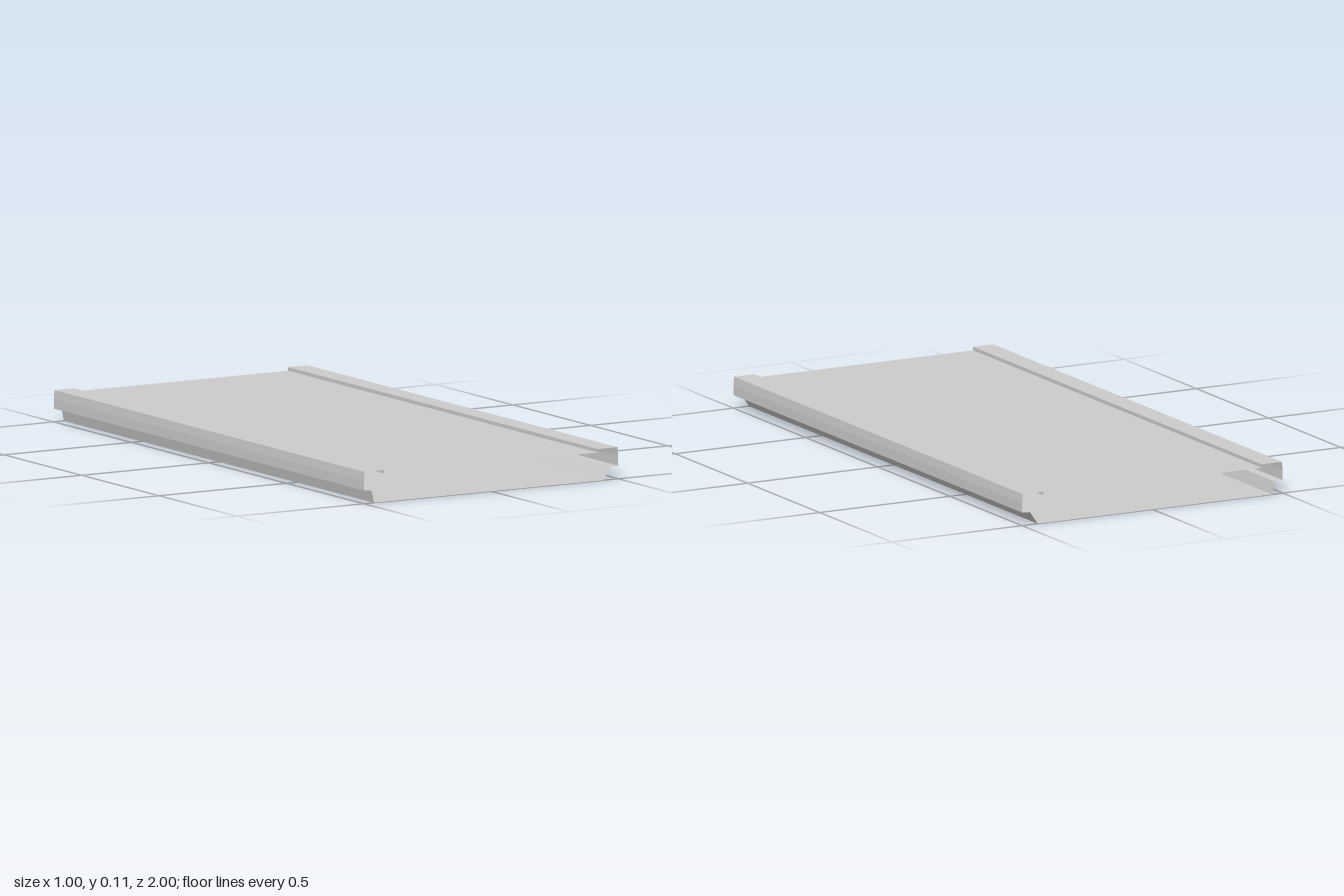
import * as THREE from 'three';

const LENGTH = 2;

// Sweeps an open [x, y] profile along z as a thin sheet with sharp folds
function sheet(name, points, material) {
  const pos = [];
  for (let i = 0; i < points.length - 1; i++) {
    const [ax, ay] = points[i], [bx, by] = points[i + 1], h = LENGTH / 2;
    pos.push(ax, ay, h, ax, ay, -h, bx, by, -h);
    pos.push(ax, ay, h, bx, by, -h, bx, by, h);
  }
  const geometry = new THREE.BufferGeometry();
  geometry.setAttribute('position', new THREE.Float32BufferAttribute(pos, 3));
  geometry.computeVertexNormals();
  const mesh = new THREE.Mesh(geometry, material);
  mesh.name = name;
  return mesh;
}

export function createModel() {
  const group = new THREE.Group();
  group.name = 'foldedPanel';
  const material = new THREE.MeshStandardMaterial({
    color: 0xcccccc, side: THREE.DoubleSide, flatShading: true,
  });

  // Recessed top and flat underside
  const topY = 0.096, topX = 0.42, leftFoot = 0.44, rightFoot = 0.46;
  group.add(sheet('topPanel', [[topX, topY], [-topX, topY]], material));
  group.add(sheet('bottomPanel', [[-rightFoot, 0], [leftFoot, 0]], material));

  // Raised rail, side wall, ledge and lower slope on each long edge
  const sides = [['left', 1, leftFoot], ['right', -1, rightFoot]];
  for (const [side, s, foot] of sides) {
    const profile = [
      [topX, topY], [topX, 0.108], [0.497, 0.108], [0.5, 0.078],
      [0.5, 0.045], [0.47, 0.043], [foot, 0],
    ].map(([x, y]) => [s * x, y]);
    if (s > 0) profile.reverse();
    group.add(sheet(side + 'EdgeRail', profile, material));
  }
  return group;
}
